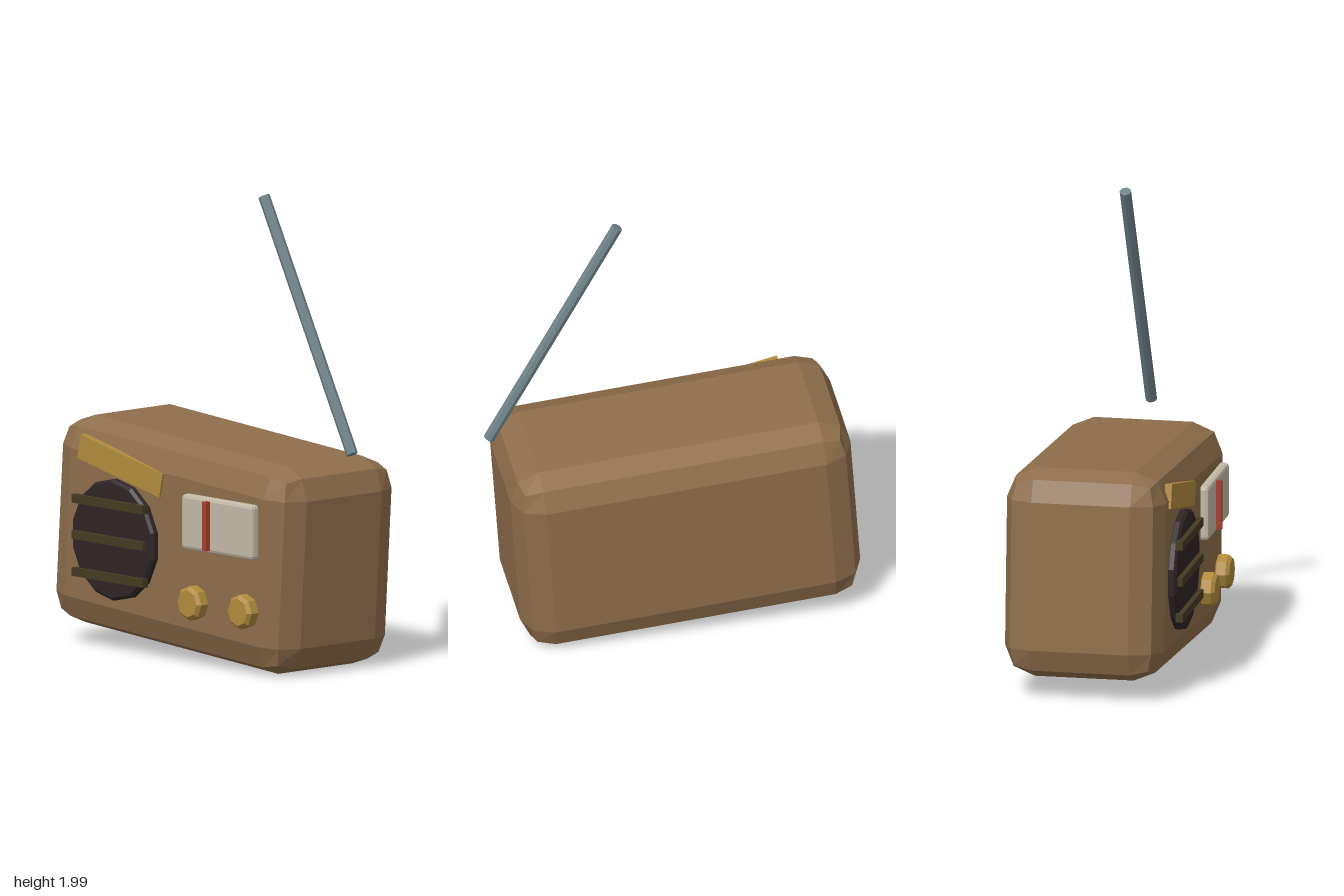
import * as THREE from 'three';
import { RoundedBoxGeometry } from 'three/addons/geometries/RoundedBoxGeometry.js';

const material = (name, color) => {
  const m = new THREE.MeshStandardMaterial({ color, flatShading: true });
  m.name = name;
  return m;
};

export function createModel() {
  const brown = material('brownCase', 0x8f6e4b);
  const brass = material('brass', 0xb08b3c);
  const dark = material('darkCloth', 0x2e2425);
  const olive = material('darkOlive', 0x453a22);
  const cream = material('cream', 0xc3b9a6);
  const red = material('red', 0xa8402e);
  const steel = material('steel', 0x6f838a);

  const radio = new THREE.Group();
  radio.name = 'radio';
  const add = (name, geometry, mat, x, y, z, tilt = 0) => {
    const mesh = new THREE.Mesh(geometry, mat);
    mesh.name = name;
    mesh.position.set(x, y, z);
    mesh.rotation.z = tilt;
    radio.add(mesh);
    return mesh;
  };
  const box = (w, h, d) => new THREE.BoxGeometry(w, h, d);

  // Bevelled disc whose axis runs along z, from z = 0 to depth
  const disc = (r, depth, bevel, sides) => {
    const profile = [[0, 0], [r - bevel, 0], [r, bevel], [r, depth - bevel], [r - bevel, depth], [0, depth]]
      .map(([x, y]) => new THREE.Vector2(x, y));
    return new THREE.LatheGeometry(profile, sides).rotateX(Math.PI / 2);
  };

  // Leaning case with chunky rounded edges
  add('case', new RoundedBoxGeometry(1.468, 0.895, 0.685, 1, 0.13), brown, -0.035, 0.492, -0.033, -0.066);

  // Speaker with three slats
  add('speaker', disc(0.26, 0.045, 0.012, 14), dark, -0.325, 0.493, 0.3);
  for (const y of [0.335, 0.493, 0.648]) {
    add('speakerSlat', box(0.445, 0.036, 0.03), olive, -0.328, y, 0.352);
  }

  // Crooked brass plate
  add('namePlate', box(0.525, 0.105, 0.03), brass, -0.3, 0.81, 0.305, -0.212);

  // Tuning window and needle
  add('tuningWindow', new RoundedBoxGeometry(0.446, 0.234, 0.05, 1, 0.015), cream, 0.333, 0.625, 0.321);
  add('tuningNeedle', box(0.024, 0.21, 0.024), red, 0.281, 0.625, 0.357);

  // Knobs
  for (const x of [0.175, 0.49]) {
    add('knob', disc(0.074, 0.07, 0.015, 8), brass, x, 0.283, 0.3);
  }

  // Antenna rod
  const bottom = new THREE.Vector3(0.767, 0.947, -0.034);
  const top = new THREE.Vector3(0.215, 1.985, -0.034);
  const along = top.clone().sub(bottom);
  const mid = bottom.clone().add(top).multiplyScalar(0.5);
  add('antenna', new THREE.CylinderGeometry(0.025, 0.025, along.length(), 8), steel,
    mid.x, mid.y, mid.z, Math.atan2(-along.x, along.y));

  return radio;
}
